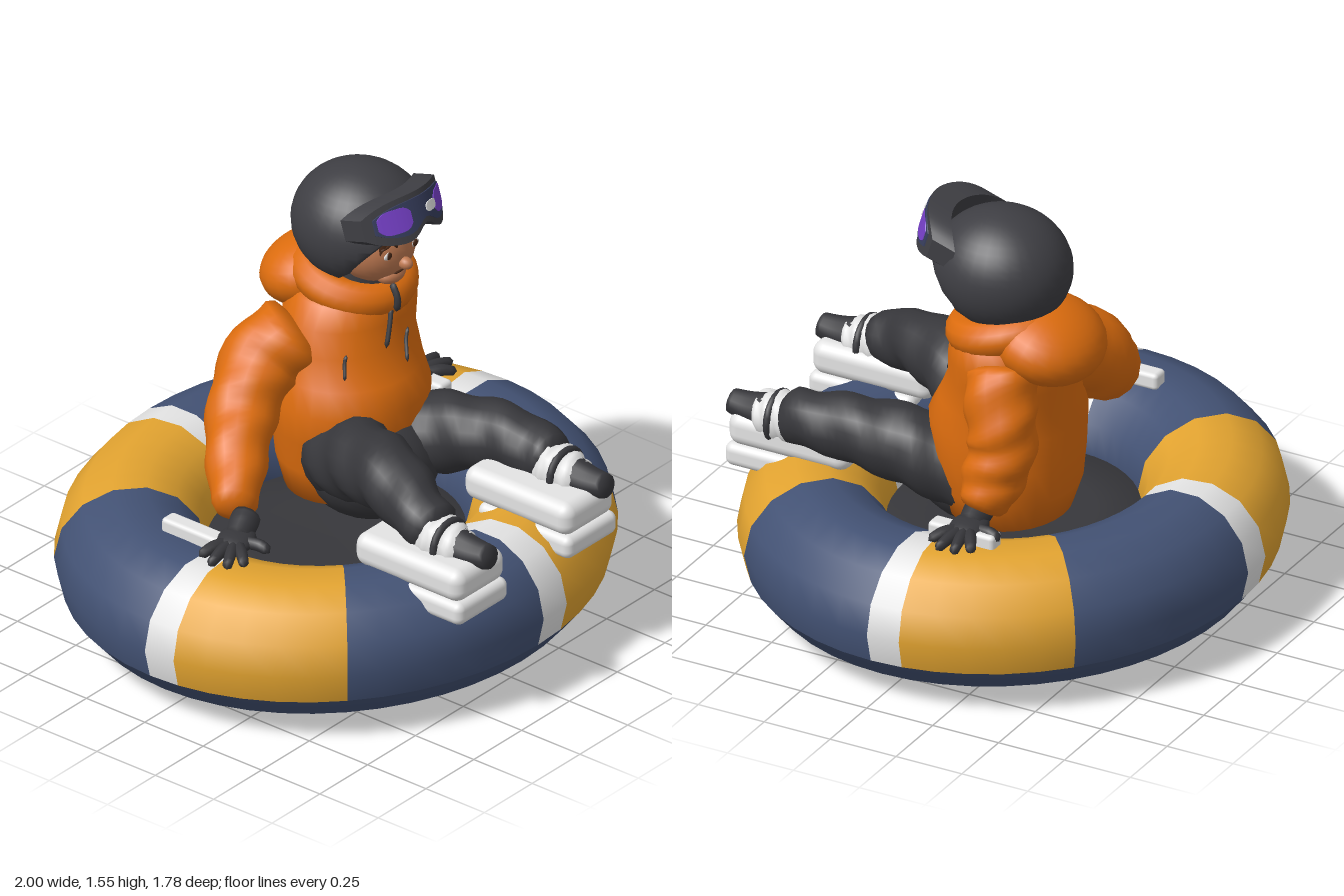
import * as THREE from 'three';
import { mergeVertices } from 'three/addons/utils/BufferGeometryUtils.js';
import { RoundedBoxGeometry } from 'three/addons/geometries/RoundedBoxGeometry.js';

const material = (name, color) => {
  const m = new THREE.MeshStandardMaterial({ color });
  m.name = name;
  return m;
};
const MAT = {
  navy: material('navy', 0x435274),
  yellow: material('yellow', 0xe2a330),
  white: material('white', 0xe4e4e4),
  dark: material('dark fabric', 0x37373b),
  helmet: material('helmet charcoal', 0x3e3e43),
  orange: material('jacket orange', 0xdc6c0e),
  skin: material('skin', 0xc07a52),
  hair: material('hair brown', 0x4a2a18),
  purple: material('lens purple', 0x7640c8),
  lens: material('lens blue', 0x363d5c),
};

function add(parent, name, geo, mat, pos = [0, 0, 0], scale = [1, 1, 1]) {
  const mesh = new THREE.Mesh(geo, mat);
  mesh.name = name;
  mesh.position.set(...pos);
  mesh.scale.set(...scale);
  parent.add(mesh);
  return mesh;
}

// Weld seams and give smooth normals
function smooth(geo) {
  geo.deleteAttribute('uv');
  geo.deleteAttribute('normal');
  const g = mergeVertices(geo, 1e-5);
  g.computeVertexNormals();
  return g;
}

// Tapered tube with rounded ends through [x, y, z, radius] points, with optional cloth folds
function limb(pts, segs = 24, sides = 14, fold = 0, cap = 0.08) {
  const curve = new THREE.CatmullRomCurve3(pts.map(p => new THREE.Vector3(p[0], p[1], p[2])));
  const geo = new THREE.TubeGeometry(curve, segs, 1, sides);
  const pos = geo.attributes.position, v = new THREE.Vector3();
  for (let i = 0; i <= segs; i++) {
    const u = i / segs, c = curve.getPointAt(u);
    const t = curve.getUtoTmapping(u) * (pts.length - 1);
    const k = Math.min(Math.floor(t), pts.length - 2);
    const end = Math.min(1, Math.min(u, 1 - u) / cap);
    const r = THREE.MathUtils.lerp(pts[k][3], pts[k + 1][3], t - k) * Math.sqrt(Math.max(0, 1 - (1 - end) ** 2));
    for (let j = 0; j <= sides; j++) {
      const id = i * (sides + 1) + j, a = (j % sides) / sides * Math.PI * 2;
      v.fromBufferAttribute(pos, id).sub(c).multiplyScalar(r * (1 + fold * Math.sin(2 * a + 26 * u))).add(c);
      pos.setXYZ(id, v.x, v.y, v.z);
    }
  }
  return smooth(geo);
}

// Sphere of given radii whose vertices are kept above a height rule
function clippedBall([cx, cy, cz], [rx, ry, rz], minY) {
  const geo = new THREE.SphereGeometry(1, 32, 24).scale(rx, ry, rz).translate(cx, cy, cz);
  const p = geo.attributes.position;
  for (let i = 0; i < p.count; i++) p.setY(i, Math.max(p.getY(i), minY(p.getZ(i))));
  return smooth(geo);
}

function buildTube(root) {
  const tube = new THREE.Group();
  tube.name = 'snowTube';
  tube.scale.z = 0.89;
  root.add(tube);
  const SIDES = 14;
  const arc = (from, to) => Array.from({ length: to - from + 1 }, (_, i) => {
    const a = (from + i) / SIDES * Math.PI * 2;
    return new THREE.Vector2(0.73 + 0.27 * Math.cos(a), 0.272 + 0.243 * Math.sin(a));
  });
  const rad = THREE.MathUtils.degToRad;
  const panel = (name, mat, start, len, from, to) => add(tube, name,
    new THREE.LatheGeometry(arc(from, to), Math.max(1, Math.round(len / 7.5)), rad(start), rad(len)), mat);
  // Underside, then navy, yellow and white top panels in each quarter
  panel('tubeUnderside', MAT.navy, 0, 360, 8, 13);
  for (let q = 0; q < 4; q++) {
    panel('whiteStripe', MAT.white, q * 90, 7.5, -1, 8);
    panel('yellowPanel', MAT.yellow, q * 90 + 7.5, 37.5, -1, 8);
    panel('navyPanel', MAT.navy, q * 90 + 45, 45, -1, 8);
  }
  // Floor with bulging bottom
  const floor = [[0, 0], [0.3, 0.012], [0.56, 0.045], [0.6, 0.1], [0.52, 0.28], [0.3, 0.27], [0, 0.26]];
  add(tube, 'floor', new THREE.LatheGeometry(floor.map(p => new THREE.Vector2(...p)), 48), MAT.dark);
  // Handles
  for (const [x, z] of [[-0.63, -0.085], [0.63, -0.165]])
    add(root, 'handle', new RoundedBoxGeometry(0.065, 0.06, 0.25, 2, 0.015), MAT.white, [x, 0.525, z]);
}

// Torso sections: y, centre x, centre z, radius x, radius z
const TORSO = [
  [0.4, 0.16, -0.08, 0.001, 0.001], [0.41, 0.16, -0.08, 0.23, 0.2], [0.52, 0.17, -0.09, 0.26, 0.23],
  [0.64, 0.17, -0.08, 0.28, 0.25], [0.76, 0.16, -0.07, 0.285, 0.26], [0.84, 0.18, -0.09, 0.26, 0.235],
  [0.94, 0.2, -0.115, 0.25, 0.21], [1.03, 0.22, -0.12, 0.25, 0.205], [1.1, 0.235, -0.12, 0.215, 0.19],
  [1.15, 0.24, -0.12, 0.16, 0.16], [1.16, 0.24, -0.12, 0.001, 0.001],
];
function chestZ(x, y) {
  const k = TORSO.findIndex(r => r[0] > y) - 1, a = TORSO[k], b = TORSO[k + 1];
  const [, cx, cz, rx, rz] = a.map((v, i) => THREE.MathUtils.lerp(v, b[i], (y - a[0]) / (b[0] - a[0])));
  return cz + rz * Math.sqrt(Math.max(0, 1 - ((x - cx) / rx) ** 2));
}

function buildJacket(root) {
  const jacket = new THREE.Group();
  jacket.name = 'jacket';
  root.add(jacket);
  const N = 28, verts = [], index = [];
  TORSO.forEach(([y, cx, cz, rx, rz], i) => {
    for (let j = 0; j < N; j++) {
      const a = j / N * Math.PI * 2;
      verts.push(cx + rx * Math.sin(a), y, cz + rz * Math.cos(a));
      if (i === 0) continue;
      const k = (j + 1) % N, lo = (i - 1) * N, hi = i * N;
      index.push(lo + j, lo + k, hi + j, lo + k, hi + k, hi + j);
    }
  });
  const geo = new THREE.BufferGeometry();
  geo.setAttribute('position', new THREE.Float32BufferAttribute(verts, 3));
  geo.setIndex(index);
  geo.computeVertexNormals();
  add(jacket, 'torso', geo, MAT.orange);
  // Sleeves
  add(jacket, 'rightSleeve', limb([[0.04, 1.0, -0.17, 0.14], [-0.1, 0.89, -0.24, 0.135], [-0.25, 0.76, -0.2, 0.12],
    [-0.4, 0.66, -0.1, 0.1], [-0.53, 0.575, 0, 0.07]], 28, 16, 0.05), MAT.orange);
  add(jacket, 'leftSleeve', limb([[0.36, 1.03, -0.16, 0.13], [0.43, 0.92, -0.19, 0.12], [0.455, 0.78, -0.21, 0.115],
    [0.49, 0.66, -0.19, 0.105], [0.54, 0.56, -0.17, 0.075]], 28, 16, 0.05), MAT.orange);
  // Hood lying on the back, and collar rising towards it
  const hood = add(jacket, 'hood', new THREE.SphereGeometry(1, 24, 18), MAT.orange, [0.24, 1.105, -0.27], [0.215, 0.13, 0.19]);
  hood.rotation.x = -0.3;
  const collar = add(jacket, 'collar', new THREE.TorusGeometry(0.155, 0.065, 12, 32), MAT.orange, [0.24, 1.135, -0.12]);
  collar.rotation.x = Math.PI / 2 + 0.25;
  add(jacket, 'neckGaiter', new THREE.CylinderGeometry(0.12, 0.14, 0.12, 20), MAT.dark, [0.24, 1.14, -0.08]);
  // Zip and pocket slits following the chest
  const seam = (name, x0, y0, x1, y1, r) => add(jacket, name, limb([0, 0.33, 0.67, 1].map(t => {
    const x = THREE.MathUtils.lerp(x0, x1, t), y = THREE.MathUtils.lerp(y0, y1, t);
    return [x, y, chestZ(x, y) + 0.003, r];
  }), 10, 6), MAT.dark);
  seam('zip', 0.2, 1.09, 0.15, 0.95, 0.009);
  seam('pocketSlit', 0.27, 0.98, 0.22, 0.88, 0.007);
  seam('pocketSlit', 0.02, 0.96, -0.01, 0.88, 0.007);
  add(jacket, 'collarZip', limb([[0.21, 1.17, 0.065], [0.2, 1.12, 0.1], [0.2, 1.07, 0.095]].map(p => [...p, 0.012]), 8, 6), MAT.dark);
}

function buildHand(root, name, [x, y, z], angle) {
  const hand = new THREE.Group();
  hand.name = name;
  hand.position.set(x, y, z);
  hand.rotation.y = angle;
  root.add(hand);
  add(hand, 'palm', new THREE.SphereGeometry(1, 16, 12), MAT.dark, [0, 0.005, 0], [0.085, 0.033, 0.065]);
  add(hand, 'wrist', limb([[-0.11, 0.04, 0, 0.05], [-0.06, 0.025, 0, 0.05], [0, 0.01, 0, 0.04]], 10, 12), MAT.dark);
  // Spread fingers and both outer digits
  for (const [a, len] of [[-1.35, 0.13], [-0.5, 0.165], [-0.15, 0.18], [0.2, 0.18], [0.6, 0.155]]) {
    const c = Math.cos(a), s = Math.sin(a);
    add(hand, 'finger', limb([[0.03 * c, 0.005, 0.03 * s, 0.022], [0.1 * c, 0.008, 0.1 * s, 0.021],
      [len * c, -0.008, len * s, 0.016]], 8, 8, 0, 0.15), MAT.dark);
  }
}

function buildLegs(root) {
  add(root, 'pelvis', new THREE.SphereGeometry(1, 20, 16), MAT.dark, [0.14, 0.52, 0.03], [0.23, 0.2, 0.24]);
  const legs = [
    ['right', [[0.05, 0.55, -0.05, 0.15], [-0.06, 0.64, 0.15, 0.14], [-0.17, 0.7, 0.38, 0.12], [-0.24, 0.665, 0.55, 0.1], [-0.27, 0.635, 0.68, 0.09]], -0.265, -0.285],
    ['left', [[0.25, 0.53, -0.05, 0.15], [0.3, 0.6, 0.18, 0.14], [0.355, 0.645, 0.42, 0.115], [0.36, 0.64, 0.56, 0.1], [0.345, 0.63, 0.68, 0.09]], 0.345, 0.285],
  ];
  for (const [side, path, footX, bootX] of legs) {
    add(root, side + 'TrouserLeg', limb(path, 30, 16, 0.05), MAT.dark);
    add(root, side + 'Cuff', limb([[footX, 0.625, 0.6, 0.088], [footX, 0.615, 0.68, 0.088], [footX, 0.6, 0.79, 0.065]], 14, 16, 0.06, 0.2), MAT.white);
    add(root, side + 'AnkleStrap', new THREE.TorusGeometry(0.08, 0.014, 8, 20), MAT.dark, [footX, 0.613, 0.7]);
    add(root, side + 'Foot', limb([[footX, 0.62, 0.7, 0.07], [footX, 0.615, 0.8, 0.055], [footX, 0.625, 0.89, 0.04]], 14, 12), MAT.dark);
    add(root, side + 'BootShell', new RoundedBoxGeometry(0.26, 0.12, 0.46, 4, 0.045), MAT.white, [bootX, 0.55, 0.635]);
    add(root, side + 'BootSole', new RoundedBoxGeometry(0.265, 0.085, 0.4, 4, 0.03), MAT.white, [bootX, 0.455, 0.672]);
  }
}

function buildHead(root) {
  const head = new THREE.Group();
  head.name = 'head';
  root.add(head);
  const C = [0.235, 1.29, -0.03], R = [0.145, 0.142, 0.14];
  const ball = (name, mat, pos, scale) => add(head, name, new THREE.SphereGeometry(1, 16, 12), mat, pos, scale);
  const faceZ = (x, y) => C[2] + R[2] * Math.sqrt(1 - ((x - C[0]) / R[0]) ** 2 - ((y - C[1]) / R[1]) ** 2);
  add(head, 'face', new THREE.SphereGeometry(1, 28, 20), MAT.skin, C, R);
  ball('nose', MAT.skin, [0.225, 1.252, 0.113], [0.022, 0.022, 0.028]);
  ball('chin', MAT.skin, [0.23, 1.19, 0.045], [0.06, 0.035, 0.045]);
  ball('mouth', MAT.hair, [0.225, 1.212, faceZ(0.225, 1.212)], [0.026, 0.005, 0.006]);
  for (const s of [-1, 1]) {
    const x = 0.225 + s * 0.062;
    ball('eye', MAT.white, [x, 1.297, faceZ(x, 1.297)], [0.023, 0.013, 0.006]);
    ball('pupil', MAT.hair, [x, 1.298, faceZ(x, 1.298) + 0.003], [0.013, 0.013, 0.006]);
    const brow = ball('eyebrow', MAT.hair, [x, 1.33, faceZ(x, 1.33)], [0.03, 0.006, 0.008]);
    brow.rotation.z = -s * 0.12;
  }
  // Hair cap and hanging tufts
  add(head, 'hair', clippedBall([C[0], C[1], C[2]], R.map(r => r + 0.008), z => 1.355 - Math.max(0, 0.04 - z) * 0.6), MAT.hair);
  for (let i = 0; i < 9; i++) {
    const a = (i - 4) * 0.33;
    const tuft = add(head, 'hairTuft', new THREE.ConeGeometry(0.03, 0.075, 6), MAT.hair,
      [C[0] + 0.14 * Math.sin(a), 1.35 - Math.abs(i - 4) * 0.007, C[2] + 0.135 * Math.cos(a)]);
    tuft.rotation.set(Math.PI, 0, (i % 3 - 1) * 0.35);
  }
  // Helmet shell, open over the face
  add(head, 'helmet', clippedBall([0.245, 1.335, -0.095], [0.222, 0.21, 0.24],
    z => 1.19 + Math.max(0, z + 0.05) * 1.15), MAT.helmet);

  // Goggles: curved plates with rounded ends and a nose notch
  const goggles = new THREE.Group();
  goggles.name = 'goggles';
  goggles.position.set(0.235, 1.455, 0.13);
  goggles.rotation.x = -0.3;
  head.add(goggles);
  const visor = (name, mat, w, h, d, x0, y0, z0, notch = 0) => {
    const geo = new THREE.BoxGeometry(w, h, d, 20, 4, 1), p = geo.attributes.position;
    for (let i = 0; i < p.count; i++) {
      const x = p.getX(i);
      let y = p.getY(i) * (1 - 0.55 * Math.abs(2 * x / w) ** 4);
      if (y < 0) y += notch * Math.exp(-((x / 0.045) ** 2)) * (-2 * y / h);
      p.setXYZ(i, x + x0, y + y0, p.getZ(i) + z0 - 3 * (x + x0) ** 2);
    }
    geo.computeVertexNormals();
    add(goggles, name, geo, mat);
  };
  visor('goggleFrame', MAT.helmet, 0.385, 0.165, 0.09, 0, 0, 0.015, 0.045);
  visor('lens', MAT.lens, 0.335, 0.12, 0.006, 0, 0.003, 0.062, 0.04);
  visor('lensTint', MAT.purple, 0.1, 0.085, 0.004, -0.11, 0.006, 0.066);
  visor('lensTint', MAT.purple, 0.1, 0.08, 0.004, 0.105, 0.006, 0.066);
  visor('lensGlint', MAT.white, 0.055, 0.035, 0.004, 0.03, 0.012, 0.069);
}

export function createModel() {
  const root = new THREE.Group();
  root.name = 'childOnSnowTube';
  buildTube(root);
  buildLegs(root);
  buildJacket(root);
  buildHand(root, 'rightHand', [-0.6, 0.54, 0.065], Math.PI + 0.35);
  buildHand(root, 'leftHand', [0.61, 0.54, -0.17], 0.05);
  buildHead(root);
  return root;
}
